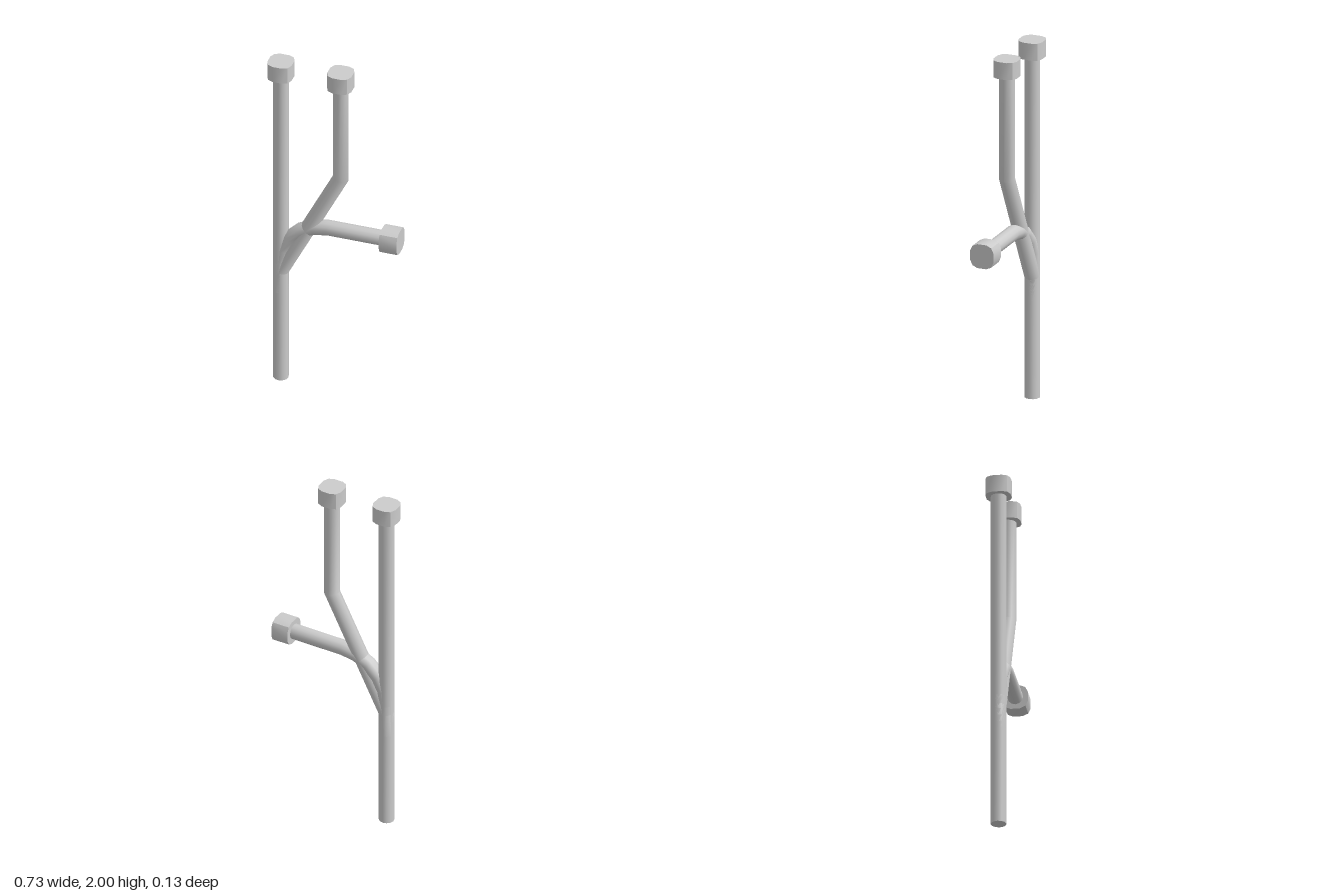
import * as THREE from 'three';
import { toCreasedNormals } from 'three/addons/utils/BufferGeometryUtils.js';

const material = new THREE.MeshStandardMaterial({ color: 0xcccccc });

// Cross-sections as [in-plane, z] pairs, counter-clockwise
const PIPE = Array.from({ length: 12 }, (_, i) => {
  const a = (i / 12) * Math.PI * 2;
  return [0.042 * Math.cos(a), 0.042 * Math.sin(a)];
});
const COLLAR = [];
for (let q = 0; q < 4; q++) {
  const c = Math.round(Math.cos(q * Math.PI / 2)), s = Math.round(Math.sin(q * Math.PI / 2));
  for (const [u, v] of [[0.067, 0.026], [0.054, 0.054], [0.026, 0.067]]) {
    COLLAR.push([u * c - v * s, u * s + v * c]);
  }
}

// Sweeps a closed section along a path in the xy plane, with mitred bends and flat ends
function sweep(name, path, section) {
  const pts = path.map(([x, y]) => new THREE.Vector2(x, y));
  const n = section.length, last = pts.length - 1;
  const pos = [], idx = [];
  pts.forEach((p, i) => {
    const dIn = pts[Math.max(i, 1)].clone().sub(pts[Math.max(i, 1) - 1]).normalize();
    const k = Math.min(i, last - 1);
    const dOut = pts[k + 1].clone().sub(pts[k]).normalize();
    const t = dIn.clone().add(dOut).normalize();
    const miter = 1 / t.dot(dIn);
    for (const [u, v] of section) pos.push(p.x - t.y * u * miter, p.y + t.x * u * miter, v);
  });
  for (let i = 0; i < last; i++) {
    for (let j = 0; j < n; j++) {
      const a = i * n + j, b = i * n + (j + 1) % n;
      idx.push(a, b, b + n, a, b + n, a + n);
    }
  }
  for (let j = 1; j < n - 1; j++) {
    idx.push(0, j + 1, j, last * n, last * n + j, last * n + j + 1);
  }
  const geo = new THREE.BufferGeometry();
  geo.setAttribute('position', new THREE.Float32BufferAttribute(pos, 3));
  geo.setIndex(idx);
  const mesh = new THREE.Mesh(toCreasedNormals(geo, 0.7), material);
  mesh.name = name;
  return mesh;
}

export function createModel() {
  const group = new THREE.Group();
  group.name = 'branchingPipe';

  // Quarter bend that leaves the main pipe and turns level
  const R = 0.265, bend = [];
  for (let i = 0; i <= 5; i++) {
    const a = (i / 5) * Math.PI / 2;
    bend.push([-0.3 + R * (1 - Math.cos(a)), 1 - R + R * Math.sin(a)]);
  }

  group.add(
    sweep('mainPipe', [[-0.3, 0], [-0.3, 1.95]], PIPE),
    sweep('angledBranch', [[-0.3, 0.55], [-0.3, 0.677], [0.033, 1.33], [0.033, 1.95]], PIPE),
    sweep('sideBranch', [[-0.3, 0.6], ...bend, [0.3, 1]], PIPE),
    // Collars on the three open ends
    sweep('mainCollar', [[-0.3, 1.905], [-0.3, 2]], COLLAR),
    sweep('angledCollar', [[0.033, 1.905], [0.033, 2]], COLLAR),
    sweep('sideCollar', [[0.267, 1], [0.366, 1]], COLLAR),
  );
  return group;
}
